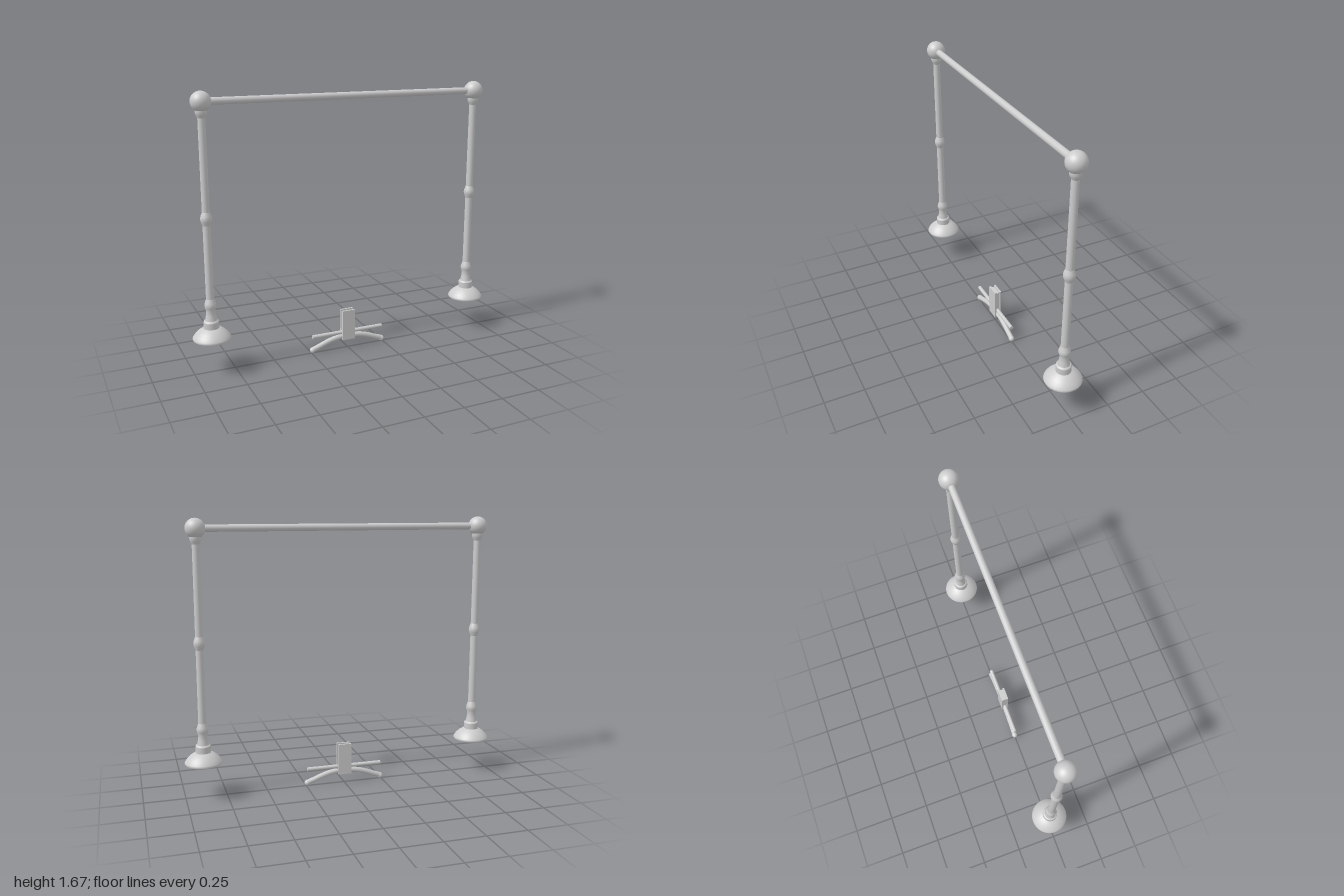
import * as THREE from 'three';

export function createModel() {
  const metal = new THREE.MeshStandardMaterial({ color: 0xcccccc });
  metal.name = 'light grey metal';
  const model = new THREE.Group();

  const add = (name, geometry, x = 0, y = 0, z = 0, parent = model) => {
    const mesh = new THREE.Mesh(geometry, metal);
    mesh.name = name;
    mesh.position.set(x, y, z);
    parent.add(mesh);
    return mesh;
  };
  // Turned part; each run of points is smooth, with sharp edges between runs
  const turned = (name, runs, parent) => runs.forEach(run => add(name,
    new THREE.LatheGeometry(run.map(p => new THREE.Vector2(...p)), 32), 0, 0, 0, parent));

  const postX = 0.886, barY = 1.616;

  // Two posts, each with a domed foot, beads and a ball on top
  for (const side of [-1, 1]) {
    const post = new THREE.Group();
    post.name = side > 0 ? 'leftPost' : 'rightPost';
    post.position.x = side * postX;
    model.add(post);
    turned('foot', [
      [[0, 0.214], [0.111, 0.214]],
      [[0.111, 0.214], [0.114, 0.221], [0.111, 0.229], [0.1, 0.245], [0.082, 0.263], [0.062, 0.277], [0.044, 0.285]],
    ], post);
    turned('collar', [
      [[0.046, 0.28], [0.046, 0.322]],
      [[0.046, 0.322], [0.043, 0.329], [0.036, 0.332]],
    ], post);
    turned('pole', [
      [[0.036, 0.33], [0.03, 0.36], [0.026, 0.39], [0.033, 0.411], [0.036, 0.425], [0.033, 0.439], [0.024, 0.465]],
      [[0.024, 0.465], [0.023, 0.91]],
      [[0.023, 0.91], [0.032, 0.934], [0.035, 0.95], [0.032, 0.966], [0.023, 0.99]],
      [[0.023, 0.99], [0.022, 1.525]],
      [[0.022, 1.525], [0.031, 1.543], [0.034, 1.556], [0.034, 1.57]],
    ], post);
    add('ball', new THREE.SphereGeometry(0.059, 32, 20), 0, barY, 0, post);
  }

  // Crossbar
  add('crossbar', new THREE.CylinderGeometry(0.021, 0.021, postX * 2, 24), 0, barY).rotation.z = Math.PI / 2;

  // Holder: two plates around a recessed core
  const holder = new THREE.Group();
  holder.name = 'holder';
  model.add(holder);
  for (const side of [-1, 1]) {
    add('holderPlate', new THREE.BoxGeometry(0.086, 0.198, 0.012), 0, 0.158, side * 0.017, holder);
  }
  add('holderCore', new THREE.BoxGeometry(0.076, 0.185, 0.024), 0, 0.155, 0, holder);
  add('rod', new THREE.CylinderGeometry(0.0125, 0.0125, 0.486, 16), 0, 0.107, 0, holder).rotation.z = Math.PI / 2;

  // Drooping arms ending in small knobs
  for (const side of [-1, 1]) {
    const path = new THREE.CatmullRomCurve3(
      [[0, 0.08], [0.05, 0.078], [0.1, 0.07], [0.15, 0.055], [0.2, 0.036], [0.246, 0.02]]
        .map(([x, y]) => new THREE.Vector3(side * x, y, 0)));
    add('arm', new THREE.TubeGeometry(path, 16, 0.0165, 10), 0, 0, 0, holder);
    add('knob', new THREE.SphereGeometry(0.0185, 16, 12), side * 0.243, 0.0185, 0, holder);
  }
  return model;
}
